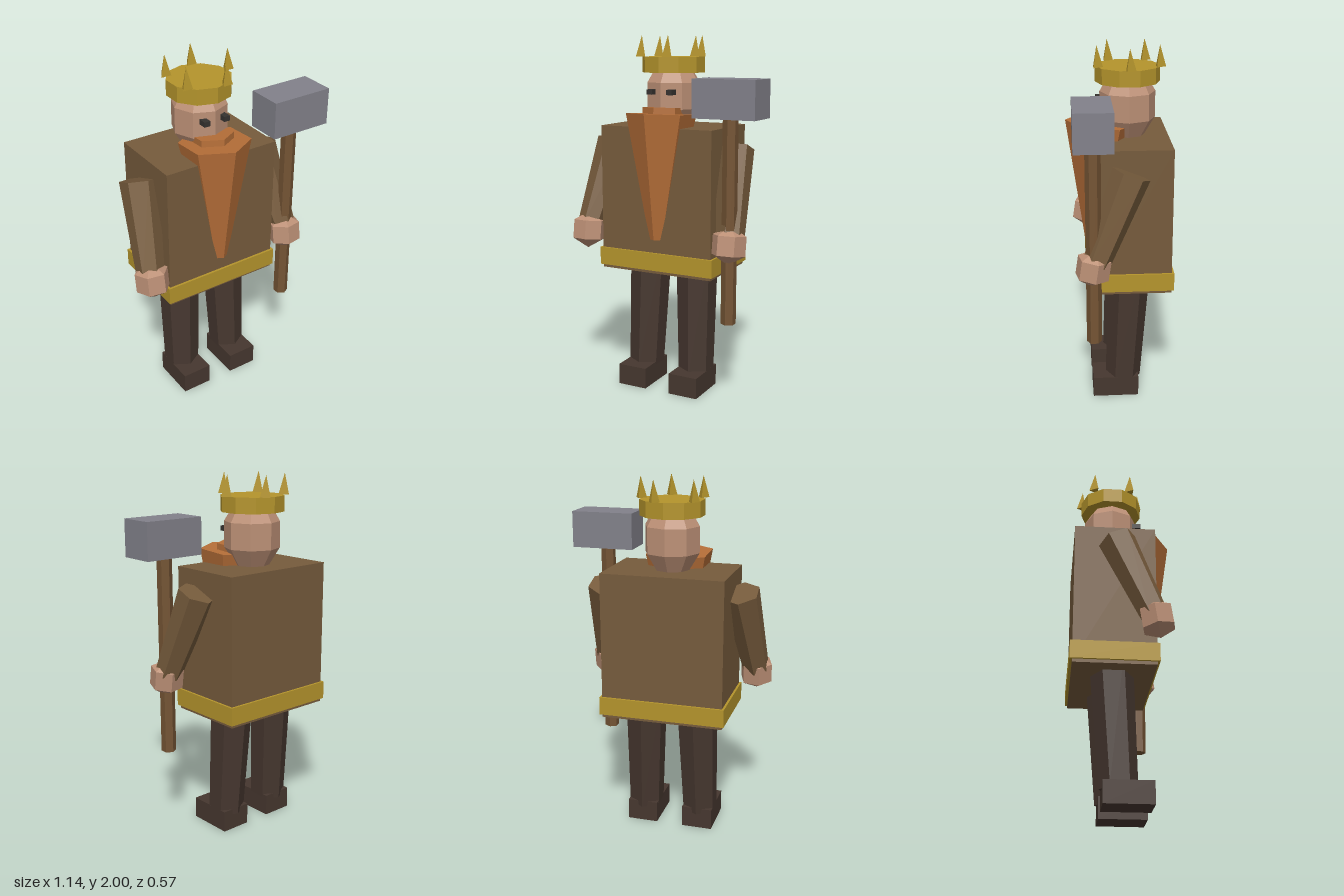
import * as THREE from 'three';

const mat = (name, color) => {
  const m = new THREE.MeshStandardMaterial({ color, flatShading: true });
  m.name = name;
  return m;
};

export function createModel() {
  const robe = mat('brown robe', 0x765b3c);
  const gold = mat('gold', 0xb4942c);
  const skin = mat('skin', 0xbc9076);
  const ginger = mat('ginger hair', 0xb56e38);
  const trousers = mat('dark trousers', 0x46372f);
  const wood = mat('wood', 0x745434);
  const steel = mat('steel', 0x82818a);
  const eyeDark = mat('eye', 0x35322f);

  const model = new THREE.Group();
  model.name = 'crownedHammerBearer';
  const CX = -0.05, CZ = -0.053; // axis of the body

  const add = (name, geo, material, x, y, z) => {
    const mesh = new THREE.Mesh(geo, material);
    mesh.name = name;
    mesh.position.set(x, y, z);
    model.add(mesh);
    return mesh;
  };
  const box = (name, w, h, d, material, x, y, z) =>
    add(name, new THREE.BoxGeometry(w, h, d), material, x, y, z);

  // Tapered six-sided limb running from a (top) to b (bottom)
  const limb = (name, a, b, rTop, rBottom, material) => {
    const top = new THREE.Vector3(...a), bottom = new THREE.Vector3(...b);
    const axis = top.clone().sub(bottom);
    const mid = top.clone().add(bottom).multiplyScalar(0.5);
    const mesh = add(name, new THREE.CylinderGeometry(rTop, rBottom, axis.length(), 6),
      material, mid.x, mid.y, mid.z);
    mesh.quaternion.setFromUnitVectors(new THREE.Vector3(0, 1, 0), axis.normalize());
    return mesh;
  };

  // Torso and belt
  box('torso', 0.675, 0.81, 0.44, robe, CX, 1.105, CZ);
  box('belt', 0.7, 0.1, 0.466, gold, CX, 0.768, CZ);

  // Head: eight-sided faceted form
  const profile = [[0, 1.46], [0.095, 1.51], [0.151, 1.603], [0.151, 1.746], [0.095, 1.84], [0, 1.87]]
    .map(([r, y]) => new THREE.Vector2(r, y));
  add('head', new THREE.LatheGeometry(profile, 8), skin, CX, 0, CZ);

  // Crown with five three-sided points
  add('crownBand', new THREE.CylinderGeometry(0.175, 0.175, 0.085, 10), gold, CX, 1.842, CZ);
  for (let i = 0; i < 5; i++) {
    const a = (i / 5) * Math.PI * 2;
    const spike = add('crownPoint', new THREE.ConeGeometry(0.034, 0.115, 3), gold,
      CX + 0.175 * Math.cos(a), 1.9425, CZ + 0.175 * Math.sin(a));
    spike.rotation.y = Math.PI;
  }

  // Beard and moustache
  add('beard', new THREE.CylinderGeometry(0.192, 0.046, 0.69, 6), ginger, CX, 1.235, 0.116)
    .rotation.x = -0.067;
  add('moustache', new THREE.CylinderGeometry(0.116, 0.116, 0.04, 6), ginger, CX, 1.592, 0.065)
    .rotation.x = -0.067;

  // Mirrored parts: eyes, arms, hands, legs and feet
  for (const s of [-1, 1]) {
    const side = s < 0 ? 'right' : 'left';
    box(side + 'Eye', 0.035, 0.028, 0.05, eyeDark, CX + s * 0.06, 1.697, 0.092);
    limb(side + 'Arm', [CX + s * 0.38, 1.4, -0.048], [CX + s * 0.44, 0.93, 0.14], 0.104, 0.075, robe);
    const hand = add(side + 'Hand', new THREE.SphereGeometry(0.106, 6, 3), skin,
      CX + s * 0.44, 0.908, 0.155);
    hand.rotation.set(-0.15, s * 0.2, 0);
    limb(side + 'Leg', [CX + s * 0.148, 0.8, -0.058], [CX + s * 0.163, 0.095, -0.02], 0.119, 0.1, trousers);
    box(side + 'Foot', 0.174, 0.12, 0.26, trousers, CX + s * 0.163, 0.06, 0.025);
  }

  // Hammer held in the left hand
  add('hammerHandle', new THREE.CylinderGeometry(0.041, 0.041, 1.11, 6), wood, 0.39, 1.03, 0.153);
  box('hammerHead', 0.35, 0.202, 0.2, steel, 0.39, 1.679, 0.154);

  return model;
}
